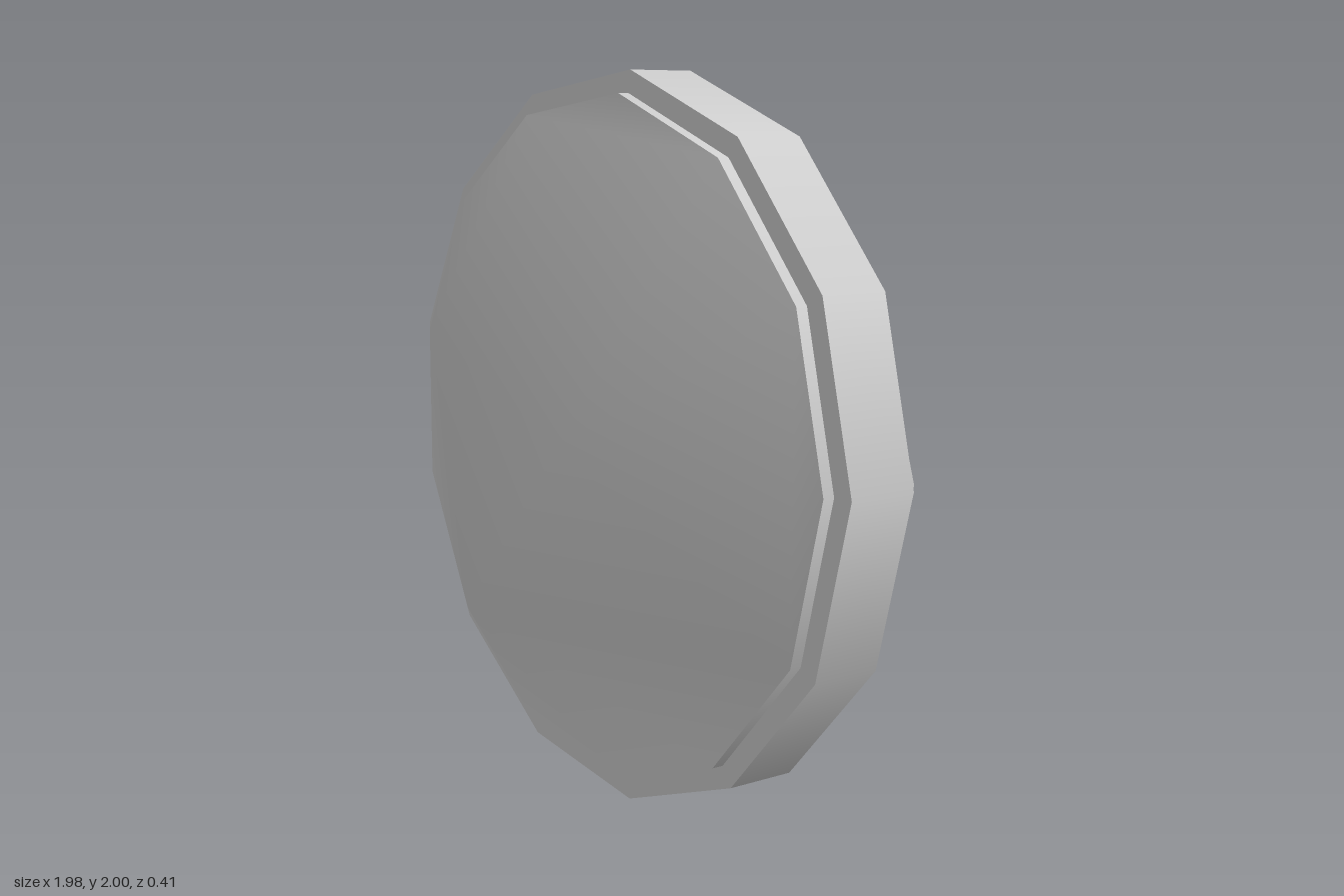
import * as THREE from 'three';

const SIDES = 13;
const RIM_R = 1.007, DISC_R = 0.946;
const FRONT_Z = 0.085, BACK_Z = -0.176, CORNER_Z = -0.205;

export function createModel() {
  const group = new THREE.Group();
  group.name = 'disc';
  const material = new THREE.MeshStandardMaterial({ color: 0xcccccc });

  function add(name, geo) {
    const mesh = new THREE.Mesh(geo, material);
    mesh.name = name;
    group.add(mesh);
  }

  // Thirteen-sided drum along z, with one corner on +x
  function drum(radius, zBack, zFront, open) {
    const geo = new THREE.CylinderGeometry(radius, radius, zFront - zBack, SIDES, 1, open, Math.PI / 2);
    geo.rotateX(Math.PI / 2);
    return geo.translate(0, 0, (zFront + zBack) / 2);
  }

  // Smooth face: spokes from a raised hub to some corners, flat between the others
  function face(hub, spokes, z, flip) {
    const points = [];
    for (let i = 0; i < SIDES; i++) {
      const a = (i / SIDES) * Math.PI * 2;
      points.push(new THREE.Vector3(DISC_R * Math.cos(a), DISC_R * Math.sin(a), z));
    }
    points.push(hub);
    const index = [];
    const tri = (a, b, c) => index.push(...(flip ? [a, c, b] : [a, b, c]));
    for (let s = 0; s < spokes.length - 1; s++) {
      const a = spokes[s], b = spokes[s + 1];
      tri(SIDES, a % SIDES, b % SIDES);
      for (let j = a + 1; j < b; j++) tri(a % SIDES, j % SIDES, (j + 1) % SIDES);
    }
    const geo = new THREE.BufferGeometry().setFromPoints(points);
    geo.setIndex(index);
    geo.computeVertexNormals();
    return geo;
  }

  // Wide outer band
  add('rim', drum(RIM_R, -0.145, 0.052, false));

  // Inner disc wall, with its back corner on +x pulled out
  const wall = drum(DISC_R, BACK_Z, FRONT_Z, true);
  const pos = wall.attributes.position;
  for (let i = 0; i < pos.count; i++) {
    if (pos.getZ(i) < 0 && pos.getX(i) > DISC_R - 0.001) pos.setZ(i, CORNER_Z);
  }
  add('innerDiscWall', wall);

  // Pointed front and slightly tilted back
  add('frontFace', face(new THREE.Vector3(0, 0, 0.205), [1, 2, 4, 6, 8, 12, 14], FRONT_Z, false));
  add('backFace', face(new THREE.Vector3(DISC_R, 0, CORNER_Z), [1, 2, 5, 8, 11, 12], BACK_Z, true));

  group.position.set(-0.015, 1, 0);
  const root = new THREE.Group();
  root.name = 'model';
  root.add(group);
  return root;
}
